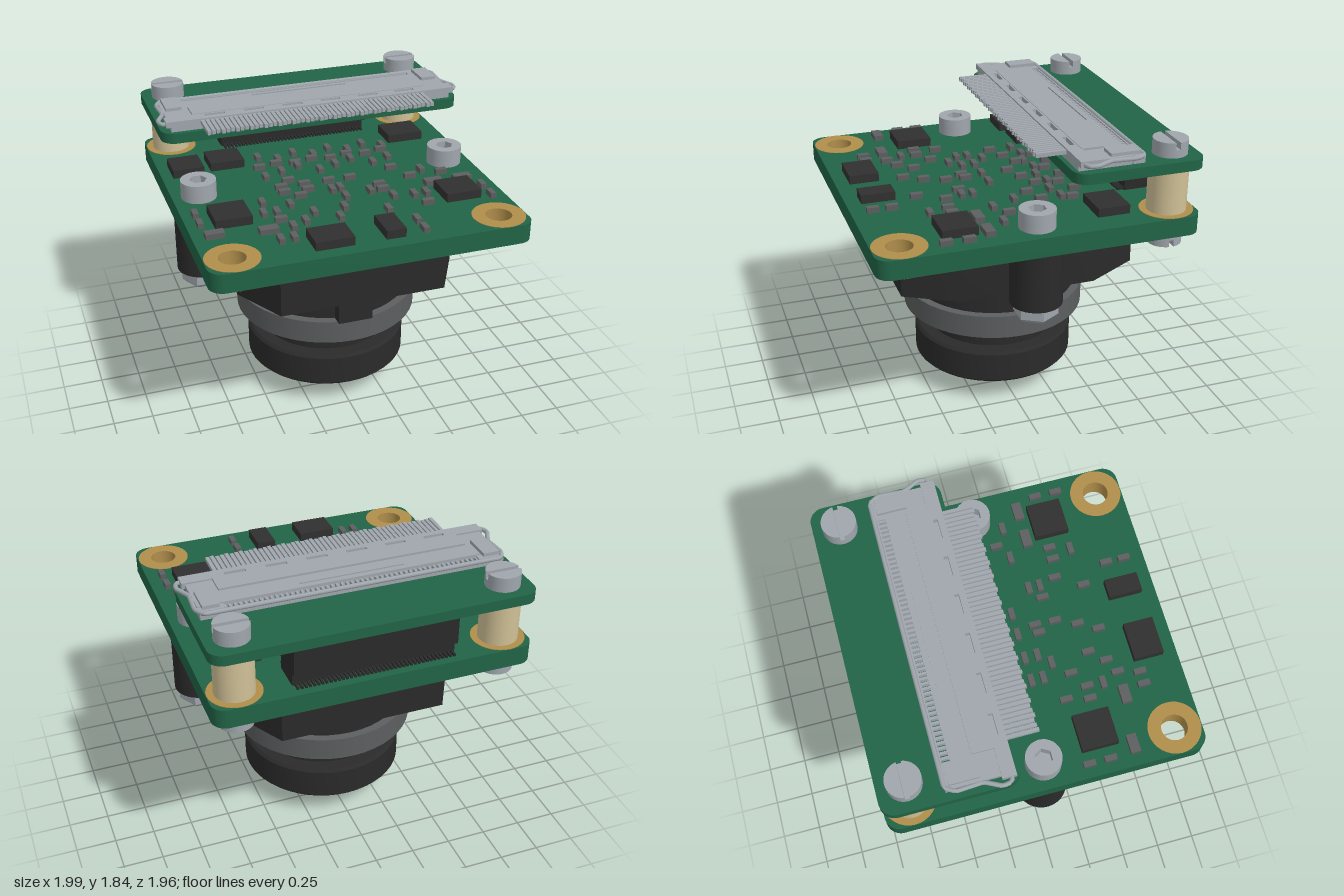
import * as THREE from 'three';
import { toCreasedNormals } from 'three/addons/utils/BufferGeometryUtils.js';

const paint = (name, color) => {
  const m = new THREE.MeshStandardMaterial({ color });
  m.name = name;
  return m;
};

export function createModel() {
  const model = new THREE.Group();
  model.name = 'cameraModule';
  const green = paint('boardGreen', 0x216446);
  const gold = paint('padGold', 0xb08e4b);
  const tan = paint('standoffBrass', 0xd0c096);
  const black = paint('plasticBlack', 0x2a2a2a);
  const chipDark = paint('chipDark', 0x303030);
  const grey = paint('partGrey', 0x5c5e5f);
  const silver = paint('metalSilver', 0x9fa6ac);
  const glass = paint('lensBlue', 0x1f3d55);

  // ---- helpers ----
  const add = (name, geo, mat, x = 0, y = 0, z = 0) => {
    const m = new THREE.Mesh(geo, mat);
    m.name = name;
    m.position.set(x, y, z);
    model.add(m);
    return m;
  };
  // box from min/max extents
  const box = (name, mat, x0, x1, y0, y1, z0, z1) =>
    add(name, new THREE.BoxGeometry(x1 - x0, y1 - y0, z1 - z0), mat, (x0 + x1) / 2, (y0 + y1) / 2, (z0 + z1) / 2);
  const cyl = (name, mat, r, y0, y1, x, z, n = 32) =>
    add(name, new THREE.CylinderGeometry(r, r, y1 - y0, n), mat, x, (y0 + y1) / 2, z);
  // vertical extrusion of a plan shape (shape y = -z)
  const slab = (name, mat, shape, y0, y1, x = 0, z = 0) => {
    const g = new THREE.ExtrudeGeometry(shape, { depth: y1 - y0, bevelEnabled: false, curveSegments: 16 });
    g.rotateX(-Math.PI / 2);
    return add(name, toCreasedNormals(g, 0.6), mat, x, y0, z);
  };
  const lathe = (name, mat, pts, n = 48, x = 0, z = 0, crease = 0.45) =>
    add(name, toCreasedNormals(new THREE.LatheGeometry(pts.map(p => new THREE.Vector2(...p)), n), crease), mat, x, 0, z);
  const poly = pts => new THREE.Shape(pts.map(p => new THREE.Vector2(...p)));
  const circle = (r, x = 0, y = 0) => new THREE.Shape().absarc(x, y, r, 0, Math.PI * 2);
  const roundRect = (x0, x1, z0, z1, r) => {
    const s = new THREE.Shape(), a = -z1, b = -z0, q = Math.PI / 2;
    s.absarc(x1 - r, a + r, r, -q, 0);
    s.absarc(x1 - r, b - r, r, 0, q);
    s.absarc(x0 + r, b - r, r, q, 2 * q);
    s.absarc(x0 + r, a + r, r, 2 * q, 3 * q);
    s.closePath();
    return s;
  };
  const P = 0.815;

  // ---- circuit boards ----
  const main = roundRect(-0.98, 0.98, -0.98, 0.98, 0.09);
  for (const s of [-1, 1]) main.holes.push(circle(0.1, s * P, -P));
  slab('mainBoard', green, main, 1.27, 1.39);
  slab('upperBoard', green, roundRect(-0.98, 0.98, -0.98, -0.17, 0.09), 1.68, 1.745);

  // slotted screw head; dir = +1 slot on top, -1 slot underneath
  const slottedHead = (x, z, y, dir) => {
    const r = 0.105, a = Math.asin(0.014 / r);
    const half = new THREE.Shape().absarc(0, 0, r, a, Math.PI - a);
    const span = (d0, d1) => [y + dir * d0, y + dir * d1].sort((p, q) => p - q);
    cyl('screwHead', silver, r, ...span(0, 0.05), x, z);
    for (const turn of [0, Math.PI]) slab('screwHeadHalf', silver, half, ...span(0.05, 0.092), x, z).rotation.y = turn;
  };

  for (const s of [-1, 1]) {
    // plated front holes and back pads
    const ring = circle(0.162);
    ring.holes.push(circle(0.08));
    slab('holePlating', gold, ring, 1.267, 1.393, s * P, P);
    cyl('backPad', gold, 0.162, 1.267, 1.393, s * P, -P);
    // standoffs with screws
    cyl('standoff', tan, 0.12, 1.39, 1.68, s * P, -P);
    slottedHead(s * P, -P, 1.745, 1);
    slottedHead(s * P, -P, 1.27, -1);
    // socket screw through the mount, with nut
    const head = circle(0.11);
    head.holes.push(new THREE.Path(Array.from({ length: 6 }, (_, i) =>
      new THREE.Vector2(Math.cos(i * Math.PI / 3), Math.sin(i * Math.PI / 3)).multiplyScalar(0.055))));
    cyl('socketScrewBase', silver, 0.11, 1.39, 1.43, s * P, 0);
    slab('socketScrewHead', silver, head, 1.43, 1.505, s * P, 0);
    lathe('nut', silver, [[0, 0.805], [0.112, 0.805], [0.137, 0.83], [0.137, 0.905], [0, 0.905]], 6, s * P, 0, 0.2)
      .rotation.y = Math.PI / 2;
    cyl('boltEnd', silver, 0.06, 0.79, 0.82, s * P, 0, 20);
    // screw boss on the lens mount
    cyl('mountBoss', black, 0.16, 0.905, 1.27, s * P, 0);
  }

  // ---- lens mount and lens ----
  slab('lensMount', black, poly([[0.52, -0.745], [0.7, -0.42], [0.7, 0.42], [0.52, 0.745],
    [-0.52, 0.745], [-0.7, 0.42], [-0.7, -0.42], [-0.52, -0.745]]), 0.905, 1.27);
  cyl('mountBarrel', black, 0.535, 0.68, 0.905, 0, 0, 48);
  box('mountKey', black, -0.11, 0.11, 0.68, 0.905, 0.45, 0.6);
  cyl('lockRing', grey, 0.585, 0.53, 0.68, 0, 0, 48);
  lathe('lensBarrel', black, [[0, 0.157], [0.5, 0.157], [0.517, 0.175], [0.517, 0.36], [0.5, 0.377], [0.42, 0.377],
    [0.42, 0.475], [0.44, 0.5], [0.44, 0.53], [0, 0.53]]);
  lathe('frontLens', glass, [[0, 0], [0.13, 0.017], [0.26, 0.065], [0.34, 0.108], [0.41, 0.158]], 48, 0, 0, 0.8);

  // ---- board-to-board connector ----
  box('stackConnector', black, -0.5, 0.5, 1.47, 1.68, -0.92, -0.635);
  box('stackConnectorBase', black, -0.5, 0.5, 1.39, 1.47, -0.88, -0.69);
  for (let i = 0; i < 40; i++) {
    const x = -0.48 + i * 0.96 / 39;
    box('stackPinFront', black, x - 0.007, x + 0.007, 1.39, 1.405, -0.7, -0.645);
    box('stackPinBack', black, x - 0.007, x + 0.007, 1.39, 1.405, -0.93, -0.87);
  }

  // ---- cable connector on the upper board ----
  box('connectorBase', silver, -0.92, 0.92, 1.745, 1.775, -0.53, -0.2);
  box('connectorShell', silver, -0.93, 0.93, 1.775, 1.802, -0.54, -0.27);
  box('connectorBackRail', silver, -0.93, 0.93, 1.75, 1.79, -0.605, -0.585);
  box('connectorTopPlate', silver, -0.77, 0.77, 1.802, 1.815, -0.415, -0.28);
  box('connectorRib', silver, -0.33, 0.31, 1.802, 1.81, -0.505, -0.498);
  const band = poly([[-0.95, 0.2], [0.95, 0.2], [0.95, 0.285], [-0.95, 0.285]]);
  for (let i = 0; i < 6; i++) {
    const x = -0.635 + i * 0.252;
    band.holes.push(new THREE.Path([[-0.065, 0.24], [-0.065, 0.268], [0.065, 0.268], [0.065, 0.24]]
      .map(p => new THREE.Vector2(x + p[0], p[1]))));
  }
  slab('connectorFrontBand', silver, band, 1.775, 1.812);
  for (let i = 0; i < 52; i++) {
    const x = -0.775 + i * 1.55 / 51;
    box('comb', silver, x - 0.008, x + 0.008, 1.75, 1.785, -0.59, -0.535);
  }
  for (let i = 0; i < 50; i++) {
    const x = -0.725 + i * 1.45 / 49;
    box('contactPin', silver, x - 0.011, x + 0.011, 1.778, 1.803, -0.21, -0.01 - (i % 3) * 0.006);
  }
  for (const s of [-1, 1]) {
    box('connectorEnd', silver, s * 0.855 - 0.075, s * 0.855 + 0.075, 1.75, 1.795, -0.6, -0.53);
    box('connectorEar', silver, s * 0.86 - 0.05, s * 0.86 + 0.05, 1.8, 1.822, -0.58, -0.4);
  }
  // latch wire
  const side = [[0.9, -0.22], [0.975, -0.235], [0.985, -0.29], [0.935, -0.39], [0.945, -0.55], [0.91, -0.608]];
  const wire = [...side, [0, -0.61], ...side.map(([x, z]) => [-x, z]).reverse()]
    .map(([x, z]) => new THREE.Vector3(x, 1.79, z));
  const wirePath = new THREE.CurvePath();
  for (let i = 1; i < wire.length; i++) wirePath.add(new THREE.LineCurve3(wire[i - 1], wire[i]));
  add('latchWire', new THREE.TubeGeometry(wirePath, 120, 0.014, 8), silver);

  // ---- surface-mounted parts ----
  const chips = [[-0.71, 0.35, 0.225, 0.225], [0.705, 0.46, 0.225, 0.215], [-0.235, 0.8, 0.235, 0.185],
    [0.135, 0.785, 0.12, 0.21], [-0.55, -0.42, 0.22, 0.2], [-0.81, -0.39, 0.2, 0.2], [0.7, -0.48, 0.24, 0.2]];
  for (const [x, z, w, d] of chips) box('chip', chipDark, x - w / 2, x + w / 2, 1.39, 1.445, z - d / 2, z + d / 2);
  const smd = (list, w, d) => list.forEach(([x, z]) =>
    box('smallPart', grey, x - w / 2, x + w / 2, 1.39, 1.425, z - d / 2, z + d / 2));
  smd([[-0.31, 0.07], [-0.16, 0.07], [0, 0.07], [0.14, 0.07], [-0.31, 0.145], [-0.16, 0.15], [-0.23, 0.22], [0.28, 0.22],
    [0.28, 0.29], [0.51, 0.165], [0.72, 0.17], [0.44, 0.01], [-0.24, -0.01], [-0.435, 0.485], [0.475, 0.545]], 0.075, 0.036);
  smd([[-0.9, 0.26], [-0.9, 0.39], [-0.48, 0.24], [-0.51, 0.38], [-0.43, 0.385], [-0.325, 0.315], [-0.22, 0.455],
    [-0.3, 0.545], [-0.39, 0.59], [-0.09, 0.56], [-0.02, 0.2], [0.035, 0.19], [0.03, 0.315], [-0.025, 0.445],
    [0.2, 0.285], [0.31, 0.395], [0.435, 0.42], [0.515, 0.42], [0.61, 0.1], [0.885, 0.43], [0.885, 0.565],
    [0.215, 0.555], [0.325, 0.735], [0.325, 0.85], [-0.505, 0.72], [-0.425, 0.72]], 0.036, 0.075);
  smd([[-0.85, 0.545], [-0.54, 0.59], [0.615, 0.295], [0.81, 0.295]], 0.115, 0.06);
  // rows beneath the upper board
  for (let i = 0; i < 8; i++) {
    const x = -0.36 + i * 0.12;
    smd([[x, -0.1 - (i % 3) * 0.05], [x + 0.03, -0.4 + (i % 2) * 0.06]], 0.036, 0.075);
    smd([[x, -0.25 - (i % 2) * 0.03]], 0.075, 0.036);
  }
  return model;
}
